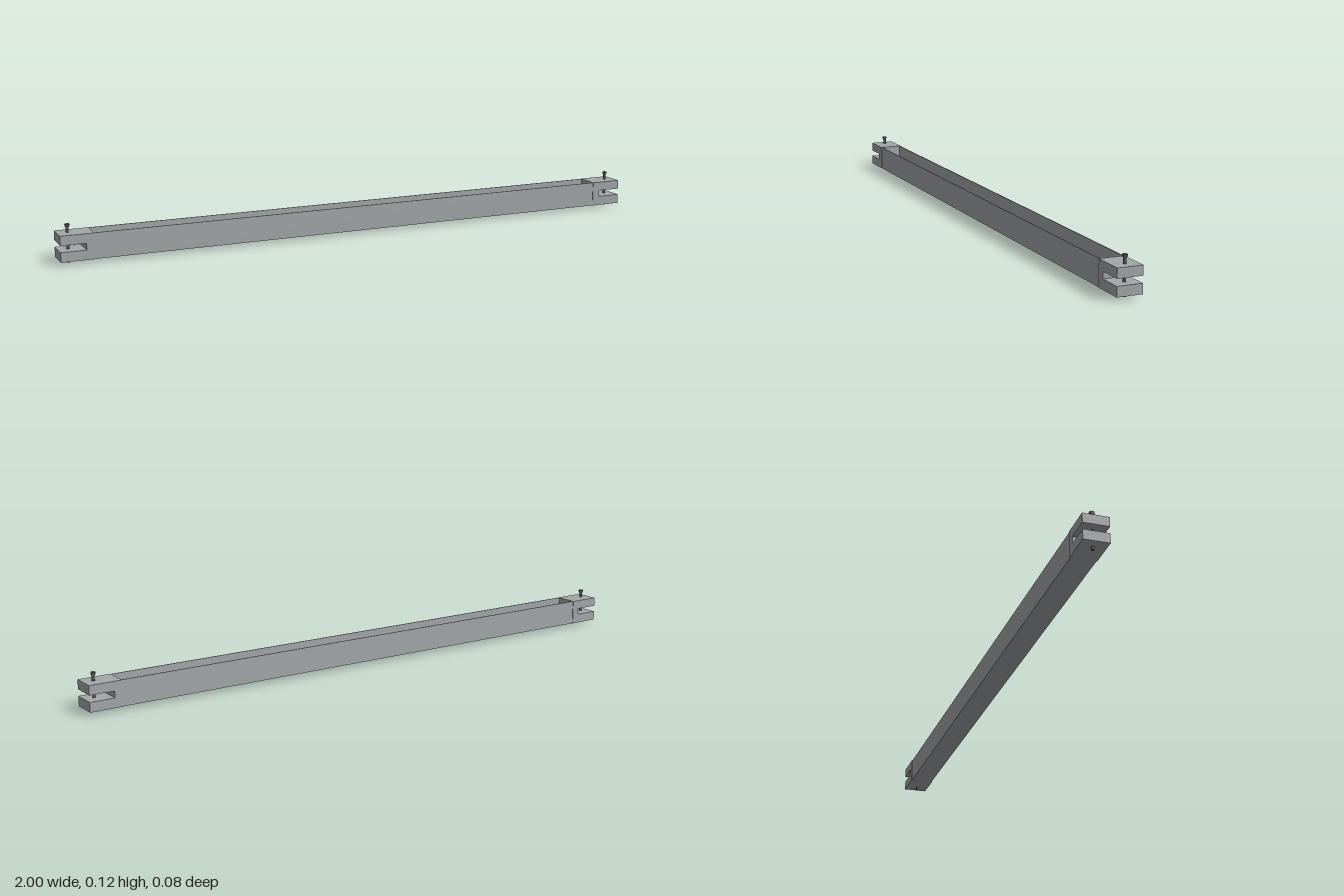
import * as THREE from 'three';

export function createModel() {
  const steel = new THREE.MeshStandardMaterial({ color: 0xa3a7a9 });
  steel.name = 'light steel';
  const dark = new THREE.MeshStandardMaterial({ color: 0x58595c });
  dark.name = 'dark steel';

  const model = new THREE.Group();
  model.name = 'slottedBeam';
  const bottom = 0.011, top = 0.093, endLength = 0.105;

  const add = (parent, geometry, material, name, x = 0, y = 0, z = 0) => {
    const mesh = new THREE.Mesh(geometry, material);
    mesh.name = name;
    mesh.position.set(x, y, z);
    parent.add(mesh);
    return mesh;
  };
  const polygon = (points) => new THREE.Shape(points.map(([x, y]) => new THREE.Vector2(x, y)));
  const extrude = (shape, depth) =>
    new THREE.ExtrudeGeometry(shape, { depth, bevelEnabled: false }).translate(0, 0, -depth / 2);

  // U-shaped channel, open at the top, running between the end blocks
  const w = 0.038, t = 0.003;
  const section = polygon([
    [-w, bottom], [w, bottom], [w, top], [w - t, top],
    [w - t, bottom + t], [-w + t, bottom + t], [-w + t, top], [-w, top],
  ]);
  const channel = extrude(section, 2 * (1 - endLength)).rotateY(Math.PI / 2);
  add(model, channel, steel, 'channel');

  // Forked end block, outline drawn for the +x end
  const inner = 1 - endLength, slotEnd = 0.92, slotLow = 0.042, slotHigh = 0.063;
  const fork = extrude(polygon([
    [inner, bottom], [1, bottom], [1, slotLow], [slotEnd, slotLow],
    [slotEnd, slotHigh], [1, slotHigh], [1, top], [inner, top],
  ]), 0.08);

  // Bolt through the fork: shaft, tapered collar and hexagonal head
  const shaft = new THREE.CylinderGeometry(0.0045, 0.0045, 0.113, 16);
  const collar = new THREE.CylinderGeometry(0.007, 0.0055, 0.003, 16);
  const head = new THREE.CylinderGeometry(0.008, 0.008, 0.007, 6).rotateY(Math.PI / 2);

  for (const side of [1, -1]) {
    const end = new THREE.Group();
    end.name = side > 0 ? 'leftEnd' : 'rightEnd';
    end.rotation.y = side > 0 ? 0 : Math.PI;
    add(end, fork, steel, 'forkBlock');
    add(end, shaft, dark, 'boltShaft', 0.968, 0.0565);
    add(end, collar, dark, 'boltCollar', 0.968, 0.1115);
    add(end, head, dark, 'boltHead', 0.968, 0.1165);
    model.add(end);
  }
  return model;
}
